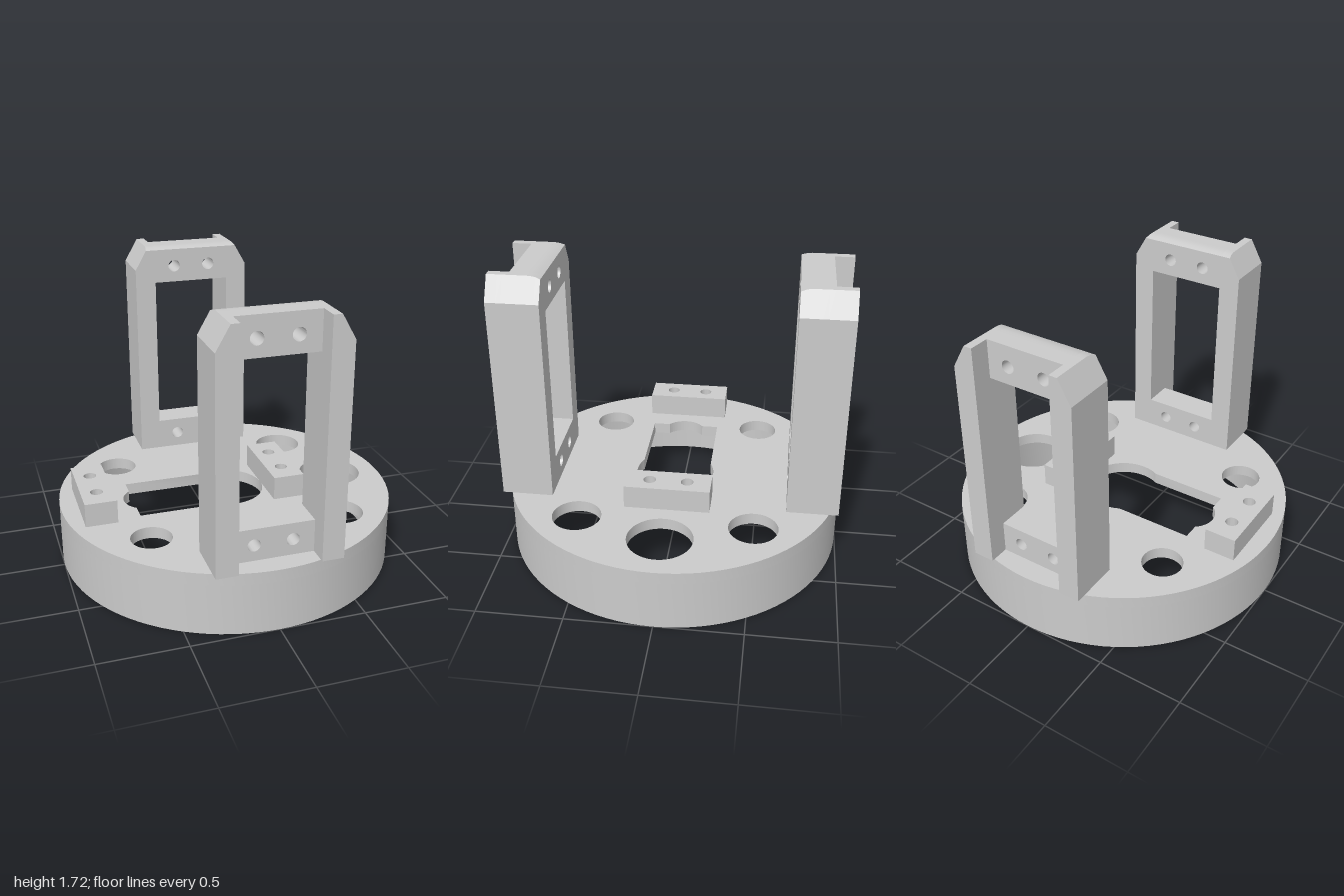
import * as THREE from 'three';
import { toCreasedNormals } from 'three/addons/utils/BufferGeometryUtils.js';

const material = new THREE.MeshStandardMaterial({ color: 0xcccccc });
const DECK = 0.37; // top of the base

function circle(x, y, r, Type = THREE.Path) {
  const p = new Type();
  p.absarc(x, y, r, 0, Math.PI * 2, false);
  return p;
}

function polygon(points) {
  return new THREE.Shape(points.map(([x, y]) => new THREE.Vector2(x, y)));
}

function rect(x0, y0, x1, y1) {
  return polygon([[x0, y0], [x1, y0], [x1, y1], [x0, y1]]);
}

function part(name, geometry) {
  const mesh = new THREE.Mesh(toCreasedNormals(geometry, 0.45), material);
  mesh.name = name;
  return mesh;
}

function extrude(shape, depth, curveSegments = 16, steps = 1) {
  return new THREE.ExtrudeGeometry(shape, { depth, curveSegments, steps, bevelEnabled: false });
}

// Slab drawn in the x-z plane, rising from y0 to y1
function slab(name, shape, y0, y1, segments) {
  return part(name, extrude(shape, y1 - y0, segments).rotateX(Math.PI / 2).translate(0, y1, 0));
}

// Keyhole cut-out in the middle of the deck
function keyhole() {
  const p = new THREE.Path();
  const a = Math.atan2(0.21, -0.1055);
  const b = Math.atan2(0.11, -0.085);
  p.absarc(0, 0, 0.235, -a, a, false);
  p.lineTo(-0.572, 0.21);
  p.lineTo(-0.572, 0.11);
  p.absarc(-0.487, 0, 0.139, b, Math.PI * 2 - b, false);
  p.lineTo(-0.572, -0.21);
  p.closePath();
  return p;
}

function createBase() {
  const base = new THREE.Group();
  base.name = 'base';
  const wall = circle(0, 0, 1, THREE.Shape);
  wall.holes.push(circle(0, 0, 0.91));
  base.add(slab('rimWall', wall, 0, 0.3, 48));

  const deck = circle(0, 0, 1, THREE.Shape);
  const holes = [
    [-0.57, -0.48, 0.118], [-0.57, 0.475, 0.118],
    [0.54, -0.51, 0.142], [0.54, 0.505, 0.142], [0.7, 0, 0.188],
  ];
  deck.holes.push(keyhole(), ...holes.map((h) => circle(...h)));
  base.add(slab('deck', deck, 0.3, DECK, 48));

  // Two mounting blocks with screw holes
  for (const [x, name] of [[-0.803, 'rightBlock'], [0.328, 'leftBlock']]) {
    const block = rect(x - 0.093, -0.25, x + 0.093, 0.25);
    block.holes.push(circle(x, -0.11, 0.037), circle(x, 0.11, 0.037));
    base.add(slab(name, block, DECK, 0.51));
  }
  return base;
}

// Upright frame: two legs joined by drilled crossbars set back from the outer side
function createFrame(name) {
  const frame = new THREE.Group();
  frame.name = name;
  const inner = 0.69, top = 1.72, half = 0.232;

  // Ease the top edge slightly towards the inner face
  const place = (partName, shape, depth, steps) => {
    const g = extrude(shape, depth, 12, steps).translate(0, 0, inner);
    const p = g.attributes.position;
    for (let i = 0; i < p.count; i++) {
      if (p.getY(i) < top - 0.001) continue;
      const t = Math.max(0, 1 - (p.getZ(i) - inner) / 0.065);
      const drop = 0.015 * t * t;
      p.setY(i, top - drop);
      const x = p.getX(i);
      if (Math.abs(x) > 0.26) p.setX(i, x + Math.sign(x) * drop * 0.57);
    }
    g.computeVertexNormals();
    frame.add(part(partName, g));
  };

  const leg = [[half, DECK], [0.357, DECK], [0.357, 1.585], [0.28, top], [half, top]];
  place('leftLeg', polygon(leg), 0.3, 10);
  place('rightLeg', polygon(leg.map(([x, y]) => [-x, y]).reverse()), 0.3, 10);

  for (const [barName, y0, y1, holeY] of [
    ['lowerCrossbar', DECK, 0.56, 0.463], ['upperCrossbar', 1.5, top, 1.6],
  ]) {
    const bar = rect(-half, y0, half, y1);
    bar.holes.push(circle(-0.11, holeY, 0.037), circle(0.11, holeY, 0.037));
    place(barName, bar, 0.185, 6);
  }
  return frame;
}

export function createModel() {
  const model = new THREE.Group();
  model.name = 'mountingBase';
  const back = createFrame('backFrame');
  back.rotation.y = Math.PI;
  model.add(createBase(), createFrame('frontFrame'), back);
  return model;
}
